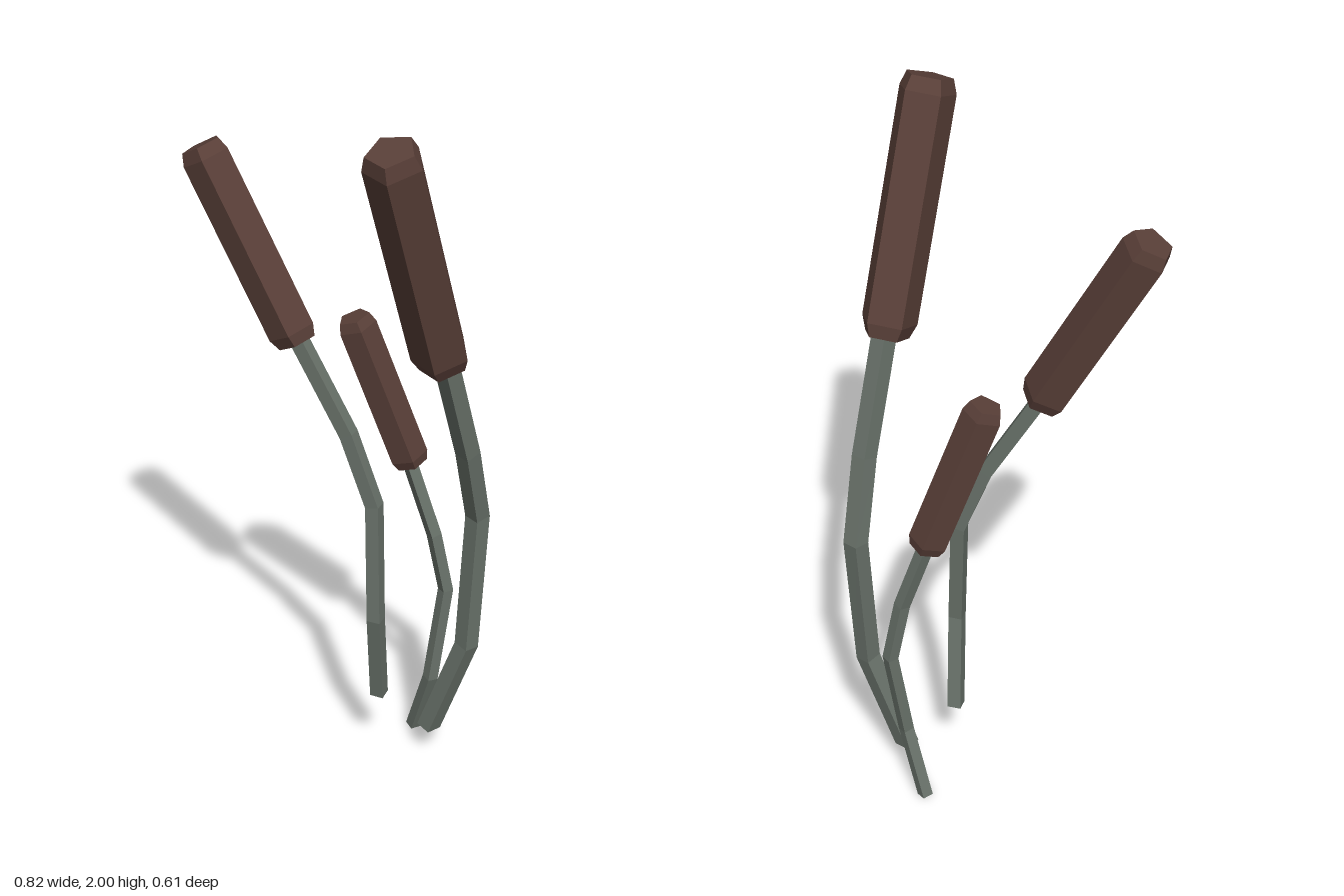
import * as THREE from 'three';

const stemMaterial = new THREE.MeshStandardMaterial({ color: 0x69726a, flatShading: true });
const headMaterial = new THREE.MeshStandardMaterial({ color: 0x593f38, flatShading: true });
const UP = new THREE.Vector3(0, 1, 0);

// Four-sided stem swept through a few bend points, closed at both ends
function makeStem(path, radius, turn) {
  const pts = path.map((p) => new THREE.Vector3(...p));
  const positions = [];
  const index = [];
  pts.forEach((p, i) => {
    const dir = new THREE.Vector3();
    if (i > 0) dir.add(p.clone().sub(pts[i - 1]).normalize());
    else dir.add(UP);
    if (i < pts.length - 1) dir.add(pts[i + 1].clone().sub(p).normalize());
    const q = new THREE.Quaternion().setFromUnitVectors(UP, dir.normalize());
    for (let k = 0; k < 4; k++) {
      const a = turn + (k * Math.PI) / 2;
      const v = new THREE.Vector3(Math.sin(a) * radius, 0, Math.cos(a) * radius);
      positions.push(...v.applyQuaternion(q).add(p).toArray());
    }
  });
  for (let i = 0; i < pts.length - 1; i++) {
    for (let k = 0; k < 4; k++) {
      const a = i * 4 + k;
      const b = i * 4 + ((k + 1) % 4);
      index.push(a, b, b + 4, a, b + 4, a + 4);
    }
  }
  const t = (pts.length - 1) * 4;
  index.push(0, 2, 1, 0, 3, 2, t, t + 1, t + 2, t, t + 2, t + 3);
  const geometry = new THREE.BufferGeometry();
  geometry.setAttribute('position', new THREE.Float32BufferAttribute(positions, 3));
  geometry.setIndex(index);
  const flat = geometry.toNonIndexed();
  flat.computeVertexNormals();
  const mesh = new THREE.Mesh(flat, stemMaterial);
  mesh.name = 'stem';
  return mesh;
}

// Five-sided seed head with bevelled ends
function makeHead(from, to, radius, turn) {
  const start = new THREE.Vector3(...from);
  const axis = new THREE.Vector3(...to).sub(start);
  const length = axis.length();
  const bevel = radius * 0.5;
  const profile = [
    [0, 0],
    [radius * 0.8, 0],
    [radius, bevel],
    [radius, length - bevel],
    [radius * 0.82, length],
    [0, length],
  ].map(([r, y]) => new THREE.Vector2(r, y));
  const mesh = new THREE.Mesh(new THREE.LatheGeometry(profile, 5, turn), headMaterial);
  mesh.position.copy(start);
  mesh.quaternion.setFromUnitVectors(UP, axis.normalize());
  mesh.name = 'seedHead';
  return mesh;
}

const REEDS = [
  {
    name: 'leaningReed',
    path: [[0.133, 0.215, -0.112], [0.143, 0.5, -0.057], [0.122, 0.84, -0.085], [0.045, 1.04, -0.085], [-0.11, 1.31, -0.083]],
    stemRadius: 0.027, stemTurn: 45,
    head: [[-0.1, 1.285, -0.082], [-0.37, 1.787, -0.082]],
    headRadius: 0.067, headTurn: 90,
  },
  {
    name: 'tallReed',
    path: [[0.26, 0.095, -0.18], [0.363, 0.4, -0.185], [0.375, 0.81, -0.2], [0.37, 1.04, -0.12], [0.342, 1.37, 0.0]],
    stemRadius: 0.033, stemTurn: 20,
    head: [[0.342, 1.345, 0.003], [0.288, 1.978, 0.237]],
    headRadius: 0.077, headTurn: 9,
  },
  {
    name: 'shortReed',
    path: [[0.173, 0.007, -0.28], [0.235, 0.215, -0.246], [0.26, 0.5, -0.28], [0.227, 0.68, -0.263], [0.15, 0.91, -0.25]],
    stemRadius: 0.022, stemTurn: 8,
    head: [[0.156, 0.89, -0.262], [0.006, 1.326, -0.2]],
    headRadius: 0.054, headTurn: 180,
  },
];

export function createModel() {
  const model = new THREE.Group();
  model.name = 'reeds';
  const rad = THREE.MathUtils.degToRad;
  for (const r of REEDS) {
    const reed = new THREE.Group();
    reed.name = r.name;
    reed.add(makeStem(r.path, r.stemRadius, rad(r.stemTurn)));
    reed.add(makeHead(r.head[0], r.head[1], r.headRadius, rad(r.headTurn)));
    model.add(reed);
  }
  return model;
}
